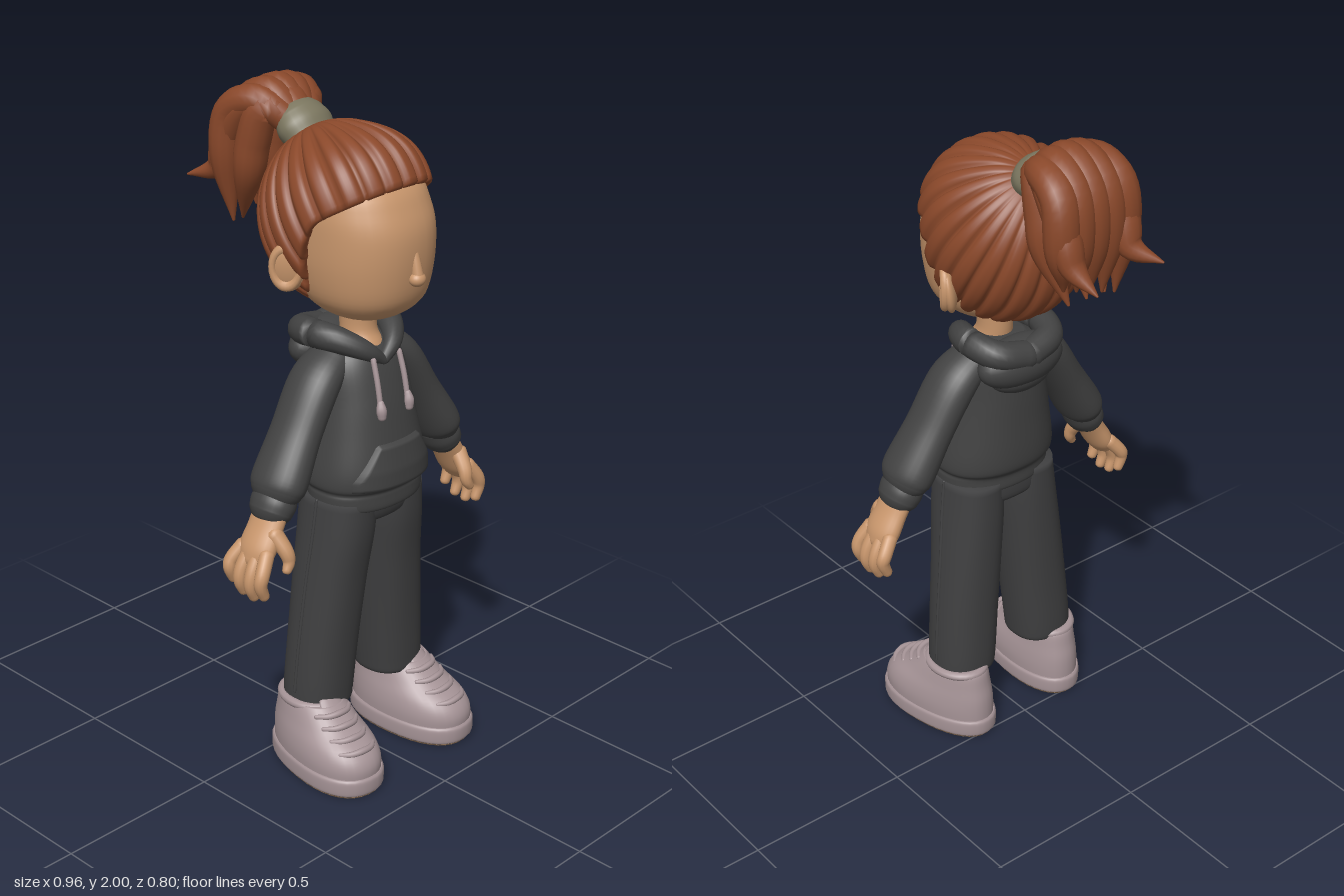
import * as THREE from 'three';

const V = (x, y, z) => new THREE.Vector3(x, y, z);
const mat = (name, color) => Object.assign(new THREE.MeshStandardMaterial({ color }), { name });

// Skin a stack of equal rings (counter-clockwise about their direction), closed with fans.
function skin(rings) {
  const n = rings[0].length, m = rings.length, pos = [], idx = [];
  rings.forEach(r => r.forEach(p => pos.push(p.x, p.y, p.z)));
  for (let i = 0; i < m - 1; i++) for (let j = 0; j < n; j++) {
    const k = (j + 1) % n, a = i * n + j, b = i * n + k, c = b + n, d = a + n;
    idx.push(a, b, c, a, c, d);
  }
  [[0, 1], [m - 1, 0]].forEach(([r, flip]) => {
    const mid = rings[r].reduce((s, p) => s.add(p), V(0, 0, 0)).divideScalar(n), c = pos.length / 3;
    pos.push(mid.x, mid.y, mid.z);
    for (let j = 0; j < n; j++) {
      const a = r * n + j, b = r * n + (j + 1) % n;
      flip ? idx.push(c, b, a) : idx.push(c, a, b);
    }
  });
  const g = new THREE.BufferGeometry();
  g.setAttribute('position', new THREE.Float32BufferAttribute(pos, 3));
  g.setIndex(idx);
  g.computeVertexNormals();
  return g;
}

// Horizontal sections [y, cx, cz, rx, rz] blended smoothly upward; p squares them off.
function loft(rows, p = 2, n = 36, steps = 5) {
  const mid = new THREE.CatmullRomCurve3(rows.map(r => V(r[1], r[0], r[2])), false, 'catmullrom');
  const rad = new THREE.CatmullRomCurve3(rows.map(r => V(r[3], r[4], 0)), false, 'catmullrom');
  const N = (rows.length - 1) * steps, rings = [];
  const pw = v => Math.sign(v) * Math.abs(v) ** (2 / p);
  for (let i = 0; i <= N; i++) {
    const c = mid.getPoint(i / N), r = rad.getPoint(i / N);
    rings.push(Array.from({ length: n }, (_, j) => {
      const t = j / n * Math.PI * 2;
      return V(c.x + r.x * pw(Math.sin(t)), c.y, c.z + r.y * pw(Math.cos(t)));
    }));
  }
  return skin(rings);
}

// Tapered tube with rounded ends; the ref direction is widened by flat.
function limb(points, radii, { flat = 1, ref = V(0, 0, 1), n = 16, steps = 6 } = {}) {
  const curve = new THREE.CatmullRomCurve3(points.map(p => V(...p)), false, 'catmullrom');
  const rad = new THREE.CatmullRomCurve3(radii.map(r => V(r, 0, 0)), false, 'catmullrom');
  const N = (points.length - 1) * steps, rings = [];
  const ring = (u, push, k) => {
    const T = curve.getTangent(u), S = ref.clone().addScaledVector(T, -ref.dot(T)).normalize();
    const O = T.clone().cross(S), r = Math.max(rad.getPoint(u).x, 0.001);
    const c = curve.getPoint(u).addScaledVector(T, push * r);
    rings.push(Array.from({ length: n }, (_, j) => {
      const t = j / n * Math.PI * 2;
      return c.clone().addScaledVector(S, Math.cos(t) * r * k * flat).addScaledVector(O, Math.sin(t) * r * k);
    }));
  };
  ring(0, -0.55, 0.45); ring(0, -0.35, 0.8);
  for (let i = 0; i <= N; i++) ring(i / N, 0, 1);
  ring(1, 0.35, 0.8); ring(1, 0.55, 0.45);
  return skin(rings);
}

// Front surface depth of a loft at x, y
function frontZ(rows, x, y, p = 2) {
  let i = 0;
  while (i < rows.length - 2 && rows[i + 1][0] < y) i++;
  const t = (y - rows[i][0]) / (rows[i + 1][0] - rows[i][0]);
  const [, , cz, rx, rz] = rows[i].map((v, k) => v + (rows[i + 1][k] - v) * t);
  return cz + rz * Math.max(0, 1 - Math.abs(x / rx) ** p) ** (1 / p);
}

// Ridged hair cap gathered towards the tie at the back of the crown
function hairCap() {
  const a = 0.575, P = V(0, Math.cos(a), -Math.sin(a)), F = V(0, Math.sin(a), Math.cos(a));
  const n = 240, m = 32, rings = [];
  const ring = (f, shrink) => rings.push(Array.from({ length: n }, (_, j) => {
    const phi = j / n * Math.PI * 2, deg = Math.abs(THREE.MathUtils.radToDeg(phi > Math.PI ? phi - 2 * Math.PI : phi));
    const edge = 94 + 41 * THREE.MathUtils.smoothstep(deg, 60, 125), th = THREE.MathUtils.degToRad(edge * f);
    const d = P.clone().multiplyScalar(Math.cos(th)).addScaledVector(F, Math.sin(th) * Math.cos(phi));
    d.x = Math.sin(th) * Math.sin(phi);
    const front = 1 - THREE.MathUtils.smoothstep(deg, 30, 110);
    const groove = (1 - Math.abs(Math.sin(phi * 12 + 0.25 * Math.sin(3 * phi)))) ** 2;
    let k = 1 / Math.hypot(d.x / 0.24, d.y / 0.26, d.z / 0.25);
    k *= 1 + 0.07 * front * THREE.MathUtils.smoothstep(f, 0.35, 0.8) * (1 - 0.5 * f ** 8);
    k *= 1 - 0.075 * groove * THREE.MathUtils.smoothstep(f, 0.1, 0.6);
    return d.multiplyScalar(k * shrink).add(V(0, 1.65, 0.085));
  }));
  ring(0.97, 0.8); ring(1, 0.9); ring(1, 0.96);
  for (let i = m; i >= 1; i--) ring(i / m * 0.985, 1);
  return skin(rings);
}

export function createModel() {
  const root = new THREE.Group();
  const skinM = mat('skin', 0xc8966c), hair = mat('auburn hair', 0x8a482a), tie = mat('hair tie', 0x7b765f);
  const hoodie = mat('charcoal hoodie', 0x424242), pants = mat('charcoal trousers', 0x3f3f40);
  const shoe = mat('mauve shoe', 0xa69497), soleM = mat('brown sole', 0x8c7058);
  const add = (name, geo, m, parent = root) => {
    const mesh = new THREE.Mesh(geo, m);
    mesh.name = name;
    parent.add(mesh);
    return mesh;
  };
  const blob = (name, m, p, s, rot = [0, 0, 0]) => {
    const b = add(name, new THREE.SphereGeometry(1, 28, 20), m);
    b.position.set(...p); b.scale.set(...s); b.rotation.set(...rot);
    return b;
  };

  // Head
  add('face', loft([[1.387, 0, 0.17, 0.05, 0.05], [1.4, 0, 0.165, 0.11, 0.11], [1.45, 0, 0.155, 0.16, 0.172],
    [1.54, 0, 0.145, 0.182, 0.203], [1.64, 0, 0.14, 0.186, 0.21], [1.71, 0, 0.13, 0.182, 0.198],
    [1.77, 0, 0.12, 0.165, 0.17], [1.83, 0, 0.1, 0.1, 0.1]], 2.25), skinM);
  add('noseBridge', limb([[0, 1.62, 0.335], [0, 1.57, 0.347], [0, 1.53, 0.355]], [0.01, 0.014, 0.017]), skinM);
  blob('noseTip', skinM, [0, 1.525, 0.353], [0.025, 0.021, 0.023]);
  add('neck', loft([[1.22, 0, 0.16, 0.075, 0.075], [1.29, 0, 0.15, 0.06, 0.065], [1.34, 0, 0.135, 0.05, 0.055],
    [1.43, 0, 0.135, 0.055, 0.06]]), skinM);
  add('hairCap', hairCap(), hair);

  // Ponytail
  add('hairTie', limb([[0, 1.842, -0.047], [0, 1.868, -0.073], [0, 1.895, -0.1]], [0.06, 0.066, 0.058],
    { flat: 1.35, ref: V(1, 0, 0), n: 28 }), tie);
  const strand = (pts, radii) => add('ponytailStrand', limb(pts, radii, { flat: 1.1, ref: V(1, 0, 0), n: 14 }), hair);
  strand([[0, 1.87, -0.08], [0, 1.925, -0.16], [0, 1.85, -0.23], [0, 1.74, -0.24], [0, 1.63, -0.25]],
    [0.045, 0.062, 0.075, 0.065, 0.01]);
  for (const s of [-1, -0.5, 0, 0.5, 1])
    strand([[0.03 * s, 1.88, -0.085], [0.08 * s, 1.955 - 0.02 * s * s, -0.17], [0.1 * s, 1.89, -0.262],
      [0.105 * s, 1.75, -0.28], [0.09 * s, 1.6 + 0.03 * s, -0.27]], [0.035, 0.045, 0.048, 0.044, 0.004]);
  for (const s of [-0.9, 0, 0.9])
    strand([[0.03 * s, 1.87, -0.09], [0.085 * s, 1.92, -0.15], [0.1 * s, 1.82, -0.185], [0.1 * s, 1.72, -0.205],
      [0.07 * s, 1.575, -0.26]], [0.035, 0.045, 0.048, 0.042, 0.004]);
  for (const [s, x, y] of [[-1, -0.145, 1.69], [1, 0.085, 1.665]])
    strand([[0.03 * s, 1.88, -0.1], [0.09 * s, 1.92, -0.2], [0.1 * s, 1.8, -0.285], [0.1 * s, 1.72, -0.32], [x, y, -0.4]],
      [0.03, 0.042, 0.042, 0.034, 0.003]);

  // Hoodie body with hem
  const torso = [[0.83, 0, 0.165, 0.155, 0.118], [0.84, 0, 0.165, 0.176, 0.134], [0.875, 0, 0.165, 0.18, 0.135],
    [0.89, 0, 0.162, 0.178, 0.138], [0.91, 0, 0.16, 0.187, 0.152], [0.96, 0, 0.157, 0.184, 0.155],
    [1.06, 0, 0.148, 0.165, 0.147], [1.15, 0, 0.138, 0.15, 0.138], [1.24, 0, 0.125, 0.14, 0.122],
    [1.29, 0, 0.118, 0.115, 0.1], [1.32, 0, 0.115, 0.07, 0.06]];
  add('hoodieBody', loft(torso, 2.25, 48), hoodie);

  // Front pouch pocket wrapped on the body
  const pocket = new THREE.PlaneGeometry(2, 1, 28, 16), pp = pocket.attributes.position;
  for (let i = 0; i < pp.count; i++) {
    const u = pp.getX(i), v = pp.getY(i) + 0.5, y = 0.9 + 0.14 * v;
    const x = u * (v < 0.25 ? 0.155 : 0.155 - 0.075 * (v - 0.25) / 0.75);
    const rim = Math.min(1 - Math.abs(u), v, 1 - v) < 0.02;
    pp.setXYZ(i, x, y, frontZ(torso, x, y, 2.25) + (rim ? -0.008 : 0.014));
  }
  pocket.computeVertexNormals();
  add('pouchPocket', pocket, hoodie);

  // Hood lying around the neck and down the back
  for (const s of [1, -1])
    add('hoodRim', limb([[0, 1.255, 0.232], [0.055 * s, 1.295, 0.215], [0.105 * s, 1.325, 0.155], [0.122 * s, 1.33, 0.08],
      [0.09 * s, 1.315, 0.005], [0, 1.295, -0.015]], [0.015, 0.028, 0.038, 0.041, 0.042, 0.042]), hoodie);
  blob('hoodBack', hoodie, [0, 1.265, 0.02], [0.145, 0.075, 0.072], [0.25, 0, 0]);
  blob('hoodFold', hoodie, [0, 1.225, 0.02], [0.105, 0.055, 0.058]);

  // Trouser hips
  add('hips', loft([[0.775, 0, 0.15, 0.08, 0.09], [0.8, 0, 0.152, 0.165, 0.115], [0.88, 0, 0.157, 0.172, 0.122]], 2.3), pants);

  for (const s of [1, -1]) {
    // Ear with a raised rim
    blob('ear', skinM, [0.212 * s, 1.54, 0.07], [0.022, 0.07, 0.052], [0, -0.6 * s, -0.12 * s]);
    const rim = add('earRim', new THREE.TorusGeometry(0.045, 0.013, 10, 28), skinM);
    rim.position.set(0.222 * s, 1.545, 0.076);
    rim.rotation.set(0, (Math.PI / 2 - 0.6) * s, 0);
    rim.scale.set(0.85, 1.2, 1);

    // Drawstring with knotted end
    add('drawstring', limb([[0.052 * s, 1.275, 0.243], [0.054 * s, 1.21, 0.262], [0.055 * s, 1.14, 0.276]],
      [0.008, 0.008, 0.008], { n: 10 }), shoe);
    add('drawstringEnd', limb([[0.055 * s, 1.158, 0.275], [0.056 * s, 1.135, 0.28], [0.055 * s, 1.112, 0.282]],
      [0.009, 0.015, 0.012], { n: 12 }), shoe);

    // Sleeve and cuff
    add('sleeve', limb([[0.09 * s, 1.265, 0.12], [0.165 * s, 1.205, 0.125], [0.245 * s, 1.08, 0.132], [0.315 * s, 0.965, 0.14],
      [0.335 * s, 0.93, 0.142]], [0.05, 0.06, 0.06, 0.066, 0.058], { flat: 1.38, n: 28 }), hoodie);
    add('cuff', limb([[0.325 * s, 0.935, 0.142], [0.343 * s, 0.905, 0.143], [0.358 * s, 0.88, 0.144]],
      [0.054, 0.058, 0.054], { flat: 1.22, n: 28 }), hoodie);

    // Hand
    add('palm', limb([[0.35 * s, 0.895, 0.145], [0.378 * s, 0.845, 0.147], [0.41 * s, 0.79, 0.148], [0.428 * s, 0.755, 0.148]],
      [0.034, 0.034, 0.036, 0.028], { flat: 1.75, n: 24 }), skinM);
    [[0.085, 0.03], [0.126, 0.005], [0.168, 0], [0.208, 0.015]].forEach(([z, up]) =>
      add('finger', limb([[0.418 * s, 0.79, 0.148 + (z - 0.148) * 0.75], [0.45 * s, 0.735 + up * 0.5, z],
        [0.458 * s, 0.695 + up, z], [0.444 * s, 0.657 + up, z]], [0.022, 0.021, 0.019, 0.015], { n: 12 }), skinM));
    add('thumb', limb([[0.385 * s, 0.84, 0.185], [0.375 * s, 0.795, 0.222], [0.372 * s, 0.765, 0.232], [0.385 * s, 0.74, 0.236]],
      [0.026, 0.022, 0.018, 0.013], { n: 12 }), skinM);

    // Trouser leg with outer seam
    const leg = [[0.2, 0.15, 0.125, 0.075, 0.075], [0.205, 0.15, 0.125, 0.094, 0.094], [0.25, 0.148, 0.125, 0.099, 0.098],
      [0.4, 0.135, 0.13, 0.1, 0.1], [0.6, 0.115, 0.138, 0.098, 0.108], [0.75, 0.1, 0.148, 0.095, 0.118],
      [0.86, 0.094, 0.152, 0.088, 0.12]];
    add('trouserLeg', loft(leg.map(([y, x, ...r]) => [y, x * s, ...r]), 2.3), pants);
    add('legSeam', limb(leg.slice(2).map(([y, x, z, rx]) => [(x + rx) * s, y, z]), leg.slice(2).map(() => 0.005), { n: 8 }), pants);

    // Shoe, toes turned slightly out
    const foot = new THREE.Group();
    foot.name = 'shoe';
    foot.position.set(0.185 * s, 0, 0.19);
    foot.rotation.y = 0.12 * s;
    root.add(foot);
    const widen = g => {
      const q = g.attributes.position;
      for (let i = 0; i < q.count; i++) q.setX(i, q.getX(i) * (1 + 0.55 * q.getZ(i)));
      g.computeVertexNormals();
      return g;
    };
    const upper = [[0.04, 0, 0, 0.108, 0.203], [0.09, 0, 0, 0.11, 0.203], [0.13, 0, -0.012, 0.105, 0.188],
      [0.17, 0, -0.04, 0.094, 0.152], [0.21, 0, -0.062, 0.084, 0.122], [0.225, 0, -0.066, 0.078, 0.108]];
    add('shoeUpper', widen(loft(upper, 2.2)), shoe, foot);
    add('shoeSole', widen(loft([[0.006, 0, 0, 0.108, 0.203], [0.015, 0, 0, 0.113, 0.21], [0.05, 0, 0, 0.114, 0.211],
      [0.062, 0, 0, 0.109, 0.205]], 2.3)), shoe, foot);
    add('soleBottom', widen(loft([[0, 0, 0, 0.105, 0.2], [0.007, 0, 0, 0.109, 0.205]], 2.3, 36, 1)), soleM, foot);
    add('shoeTongue', limb([[0, 0.15, 0.1], [0, 0.2, 0.045], [0, 0.238, 0.012]], [0.016, 0.016, 0.012],
      { flat: 2.8, ref: V(1, 0, 0) }), shoe, foot);
    add('shoeCollar', new THREE.TorusGeometry(0.074, 0.014, 10, 32).rotateX(Math.PI / 2).scale(1, 1, 1.25)
      .translate(0, 0.217, -0.072), shoe, foot);
    for (const y of [0.135, 0.16, 0.185, 0.21])
      add('lace', limb([-0.062, -0.035, 0, 0.035, 0.062].map(x => [x, y - Math.abs(x) * 0.1, frontZ(upper, x, y, 2.2) + 0.005]),
        [0.007, 0.009, 0.01, 0.009, 0.007], { ref: V(0, 1, 0), n: 10 }), shoe, foot);
  }
  return root;
}
